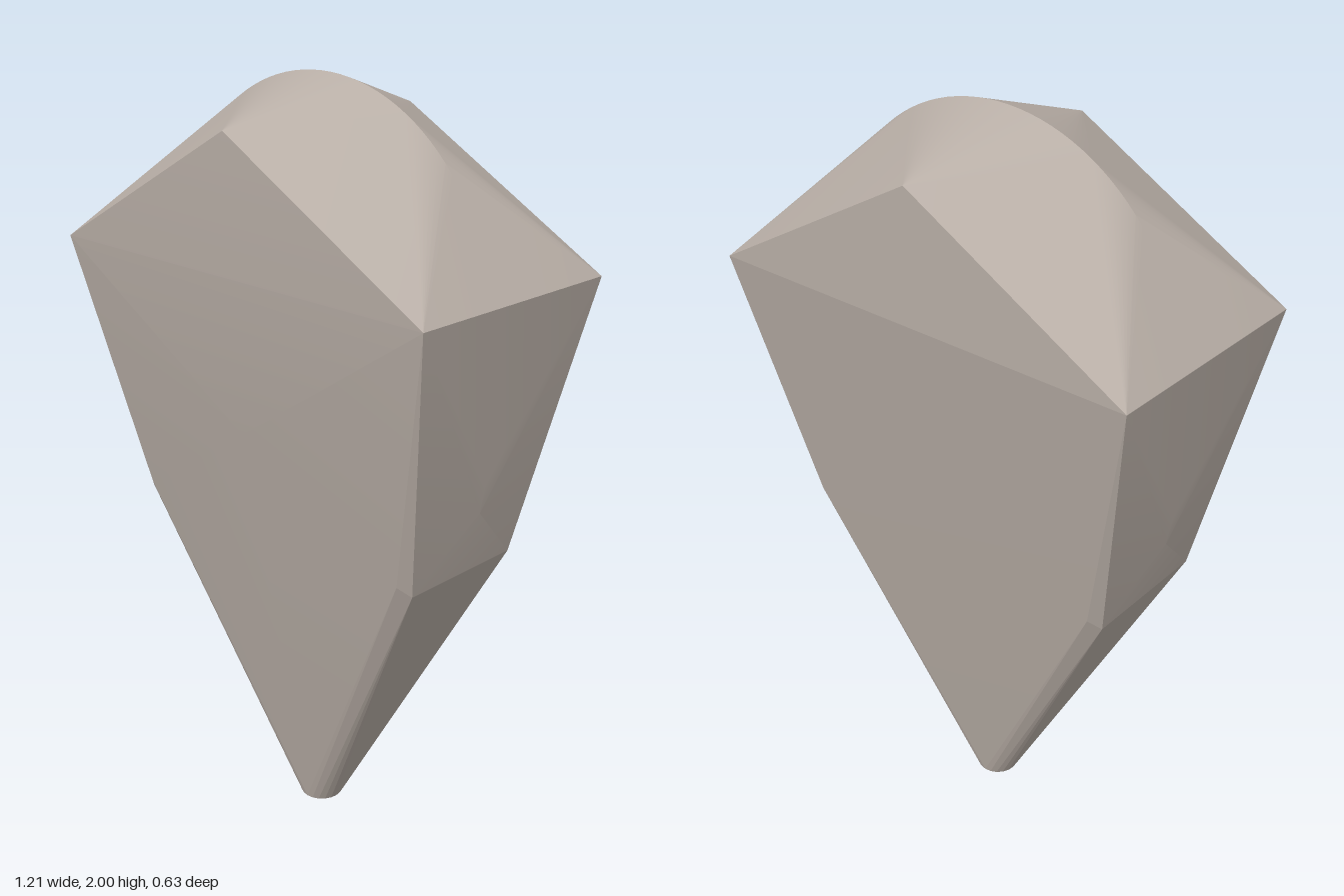
import * as THREE from 'three';
import { ConvexGeometry } from 'three/addons/geometries/ConvexGeometry.js';
import { toCreasedNormals } from 'three/addons/utils/BufferGeometryUtils.js';

export function createModel() {
  const points = [];
  const add = (x, y, z) => points.push(new THREE.Vector3(x, y, z));

  // Rounded crest: an arc across the top, in the plane z = 0
  const crestRadius = 0.53, crestSegments = 36;
  for (let i = 0; i <= crestSegments; i++) {
    const a = THREE.MathUtils.degToRad(30 + (120 * i) / crestSegments);
    add(Math.cos(a) * crestRadius, 2 - crestRadius + Math.sin(a) * crestRadius, 0);
  }

  // Peaks and shoulders, then the narrow bevelled corners at the waist
  for (const z of [-1, 1]) {
    add(0, 1.897, z * 0.315);
    for (const x of [-1, 1]) {
      add(x * 0.605, 1.56, z * 0.315);
      add(x * 0.478, 0.855, z * 0.18);
      add(x * 0.45, 0.88, z * 0.205);
    }
  }

  // Shallow bulges on the two sides and on the front face
  for (const x of [-1, 1]) {
    add(x * 0.54, 1.11, 0);
    add(x * 0.526, 1.03, 0);
  }
  add(0, 1.16, 0.275);

  // Small round foot
  const footSides = 20;
  for (let i = 0; i < footSides; i++) {
    const a = (i / footSides) * Math.PI * 2;
    add(Math.cos(a) * 0.058, 0, Math.sin(a) * 0.058);
  }

  // Convex body wrapped around these points; only the fine crest facets blend
  const geometry = toCreasedNormals(new ConvexGeometry(points), 0.12);
  const body = new THREE.Mesh(geometry, new THREE.MeshStandardMaterial({ color: 0xb8aea6 }));
  body.name = 'facetedBody';

  const model = new THREE.Group();
  model.name = 'facetedStone';
  model.add(body);
  return model;
}
